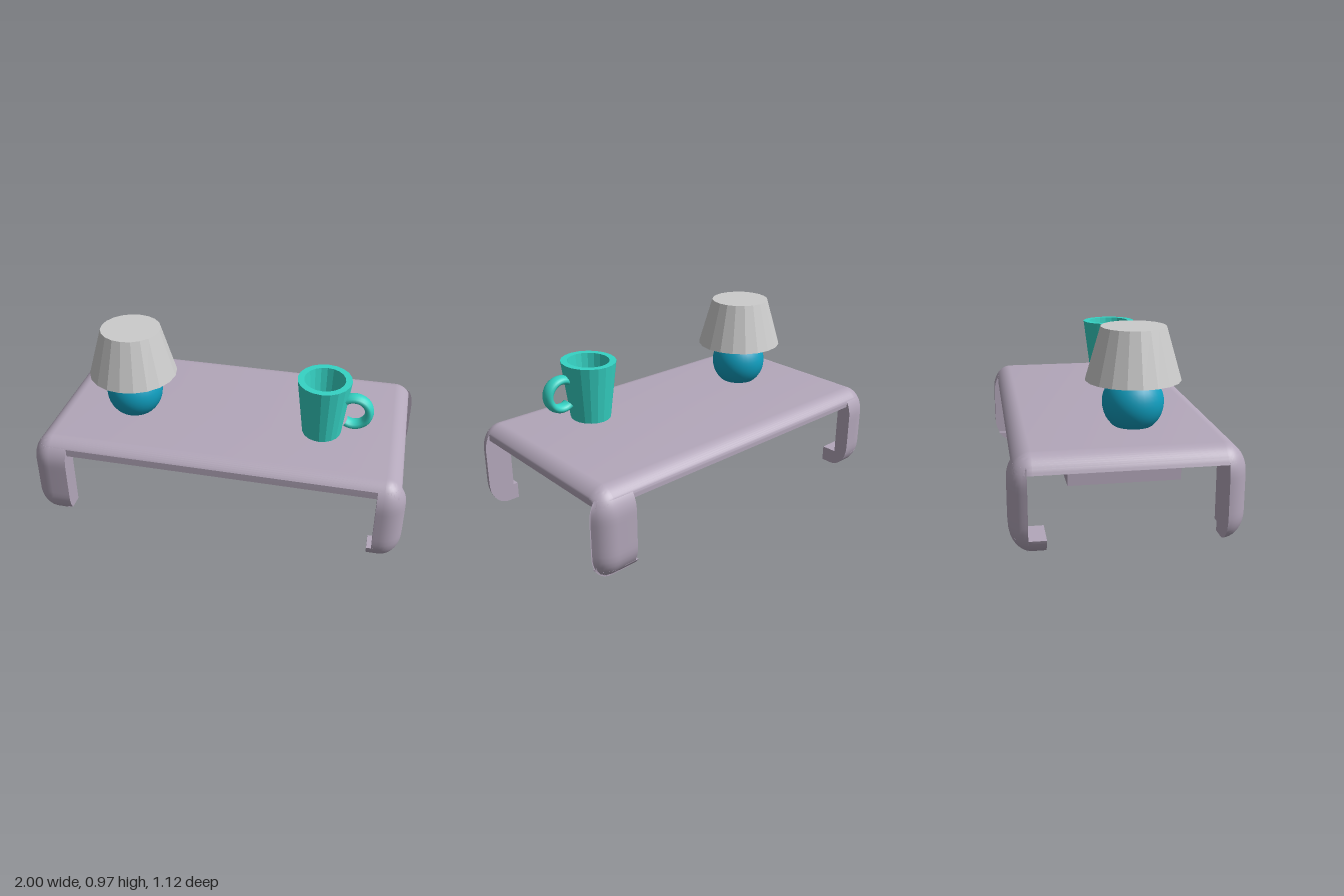
import * as THREE from 'three';
import { toCreasedNormals } from 'three/addons/utils/BufferGeometryUtils.js';

const H = 0.478, RY = 0.14, R = 0.11;   // table height and edge roundings
const CX = 0.89, CZ = 0.45;             // centres of the rounded corners

const paint = (color, flatShading = false) => new THREE.MeshStandardMaterial({ color, flatShading });
const wood = paint(0xb3a7ba);
const teal = paint(0x35d3c4, true);
const tealSmooth = paint(0x35d3c4);
const blue = paint(0x109fc0);
const grey = paint(0xcccccc, true);

function part(parent, name, geometry, material) {
  const mesh = new THREE.Mesh(geometry, material);
  mesh.name = name;
  parent.add(mesh);
  return mesh;
}

// Horizontal reach of the rounded edge at height y
function reach(y) {
  const d = Math.max(0, RY - y, y - (H - RY)) / RY;
  return R * Math.sqrt(Math.max(0, 1 - d * d));
}

// Heights from y0 to y1, closer together near both ends
function heights(y0, y1, n) {
  return Array.from({ length: n + 1 }, (_, i) => y0 + (y1 - y0) * (1 - Math.cos(Math.PI * i / n)) / 2);
}

// Solid skinned over convex rings that run from +x towards +z
function loft(rings) {
  const n = rings[0].length, last = (rings.length - 1) * n, index = [];
  for (let k = 0; k < rings.length - 1; k++) {
    for (let i = 0; i < n; i++) {
      const a = k * n + i, b = k * n + (i + 1) % n;
      index.push(a, a + n, b, b, a + n, b + n);
    }
  }
  for (let i = 1; i < n - 1; i++) index.push(0, i, i + 1, last, last + i + 1, last + i);
  const g = new THREE.BufferGeometry();
  g.setAttribute('position', new THREE.Float32BufferAttribute(rings.flat(2), 3));
  g.setIndex(index);
  return toCreasedNormals(g, 0.6);
}

// Corner block of the rounded body, cut off at the inner limits xi and zi
function cornerBlock(sx, sz, xi, zi, y0, y1) {
  return loft(heights(y0, y1, 20).map((y) => {
    const c = reach(y), ring = [[xi, zi], [Math.max(xi, CX + c), zi]];
    for (let i = 0; i <= 10; i++) {
      const a = Math.PI / 2 * i / 10;
      ring.push([Math.max(xi, CX + c * Math.cos(a)), Math.max(zi, CZ + c * Math.sin(a))]);
    }
    ring.push([xi, Math.max(zi, CZ + c)]);
    if (sx * sz < 0) ring.reverse();
    return ring.map(([x, z]) => [x * sx, y, z * sz]);
  }));
}

// Table top: full rounded outline, trimmed straight between the legs
function topSlab() {
  return loft(heights(0.397, H, 16).map((y) => {
    const c = reach(y), ring = [];
    [[1, 1], [-1, 1], [-1, -1], [1, -1]].forEach(([sx, sz], q) => {
      for (let i = 0; i <= 8; i++) {
        const a = Math.PI / 2 * (q + i / 8);
        const x = sx * CX + c * Math.cos(a), z = sz * CZ + c * Math.sin(a);
        ring.push([THREE.MathUtils.clamp(x, -1, 0.972), y, THREE.MathUtils.clamp(z, -0.535, 0.527)]);
      }
    });
    return ring;
  }));
}

function createTable() {
  const table = new THREE.Group();
  table.name = 'table';
  part(table, 'tableTop', topSlab(), wood);

  // Shallow box under the top
  part(table, 'underBox', new THREE.BoxGeometry(1.525, 0.16, 0.555), wood).position.set(-0.008, 0.335, 0.008);

  // Legs and their small inward feet: side signs, inner x, inner z, bottom, top
  const blocks = [
    ['frontRightLeg', -1, 1, 0.795, 0.455, 0.05, 0.44],
    ['frontRightFoot', -1, 1, 0.825, 0.455, 0, 0.05],
    ['frontLeftLeg', 1, 1, 0.855, 0.455, 0, 0.44],
    ['frontLeftFoot', 1, 1, 0.83, 0.455, 0, 0.09],
    ['backLeftLeg', 1, -1, 0.78, 0.49, 0, 0.43],
    ['backLeftFoot', 1, -1, 0.76, 0.465, 0, 0.055],
    ['backRightLeg', -1, -1, 0.82, 0.475, 0, 0.43],
    ['backRightFoot', -1, -1, 0.82, 0.39, 0, 0.085],
  ];
  for (const [name, ...spec] of blocks) part(table, name, cornerBlock(...spec), wood);
  return table;
}

function createLamp() {
  const lamp = new THREE.Group();
  lamp.name = 'lamp';
  part(lamp, 'lampBase', new THREE.SphereGeometry(0.155, 32, 20), blue).position.y = 0.595;
  part(lamp, 'lampShade', new THREE.CylinderGeometry(0.163, 0.24, 0.265, 20), grey).position.y = 0.8425;
  lamp.position.set(-0.54, 0, 0.09);
  return lamp;
}

function createMug() {
  const mug = new THREE.Group();
  mug.name = 'mug';
  // Hollow tapered cup
  const profile = [[0, 0.513], [0.104, 0.513], [0.142, 0.828], [0.108, 0.828], [0.082, 0.55], [0, 0.55]];
  const cup = new THREE.LatheGeometry(profile.map(([x, y]) => new THREE.Vector2(x, y)), 20);
  part(mug, 'cup', cup, teal).scale.z = 1.1;
  // Ring handle, open where it meets the cup
  const arc = THREE.MathUtils.degToRad(250);
  const ring = new THREE.TorusGeometry(0.078, 0.023, 12, 28, arc).rotateZ(-arc / 2);
  const handle = part(mug, 'handle', ring, tealSmooth);
  handle.scale.z = 1.7;
  handle.position.set(0.165, 0.673, 0.025);
  mug.position.set(0.522, 0, 0.15);
  return mug;
}

export function createModel() {
  const model = new THREE.Group();
  model.name = 'tableWithLampAndMug';
  model.add(createTable(), createLamp(), createMug());
  return model;
}
